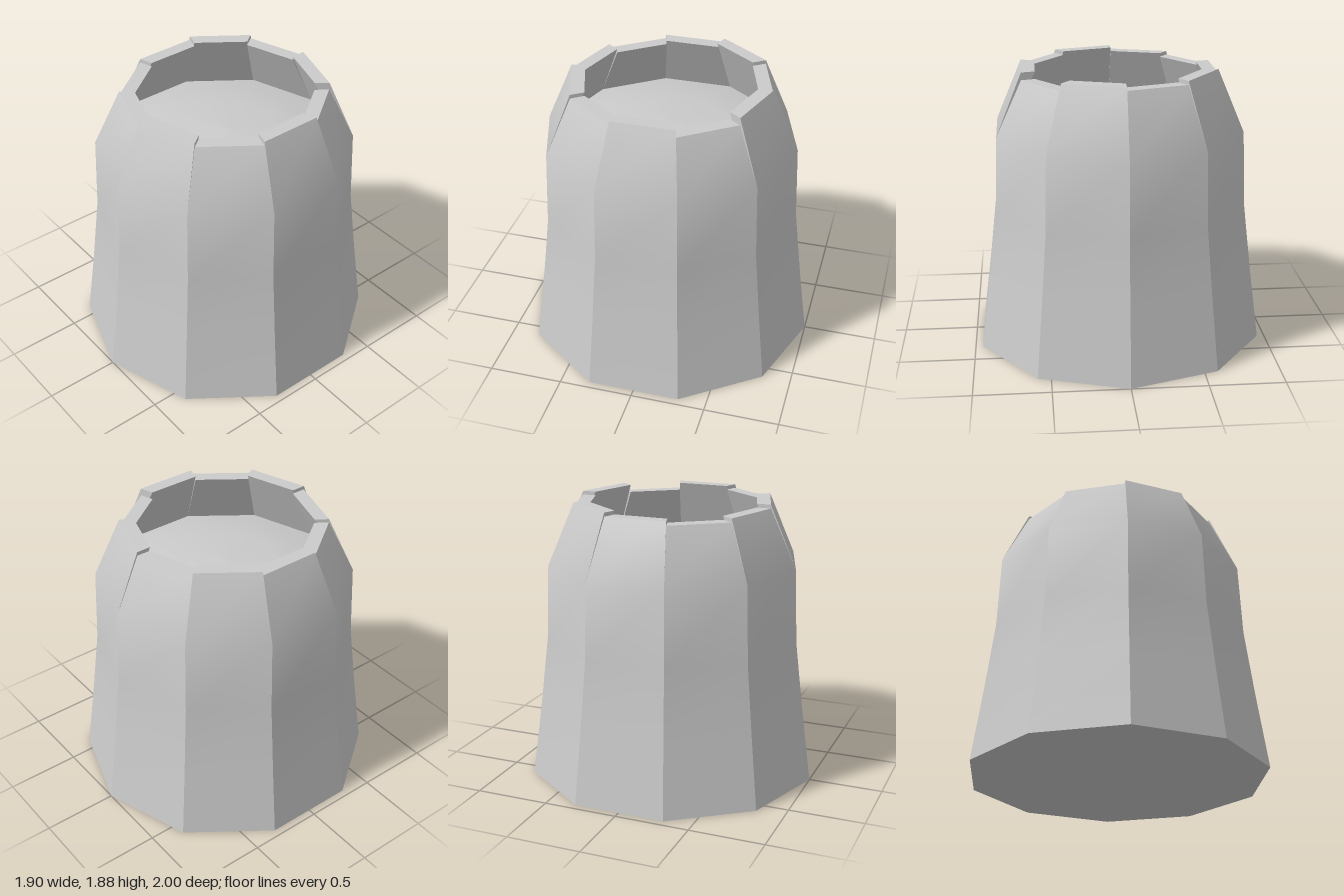
import * as THREE from 'three';
import { mergeGeometries } from 'three/addons/utils/BufferGeometryUtils.js';

const SIDES = 10;
const STEP = (Math.PI * 2) / SIDES;
const BEND = 1.465; // height where the staves start leaning inward
const INNER = 0.77; // inner radius at the bend
const TOPS = [1.88, 1.855, 1.88, 1.83, 1.88, 1.855, 1.88, 1.855, 1.83, 1.855];

const at = (r, y, a) => [Math.sin(a) * r, y, Math.cos(a) * r];

function build(points, index) {
  const g = new THREE.BufferGeometry();
  g.setAttribute('position', new THREE.Float32BufferAttribute(points.flat(), 3));
  g.setIndex(index);
  g.computeVertexNormals();
  return g;
}

// One facet following a [radius, height] profile, smooth along its length
function strip(profile, a0, a1) {
  const points = [], index = [];
  profile.forEach(([r, y], i) => {
    points.push(at(r, y, a0), at(r, y, a1));
    if (i) {
      const b = i * 2 - 2;
      index.push(b, b + 1, b + 3, b, b + 3, b + 2);
    }
  });
  return build(points, index);
}

// Stave with outer face, rim, inner face and the two exposed ends
function staveGeometry(i) {
  const a0 = i * STEP, a1 = a0 + STEP, top = TOPS[i];
  const section = [[0.855, BEND], [0.675, top], [0.58, top], [INNER, BEND]];
  const end = (a, order) => build(section.map(([r, y]) => at(r, y, a)), order);
  return mergeGeometries([
    strip([[1, 0], [0.932, 0.5], [0.875, 0.965], section[0], section[1]], a0, a1),
    strip([section[1], section[2]], a0, a1),
    strip([section[2], section[3]], a0, a1),
    end(a0, [0, 1, 2, 0, 2, 3]),
    end(a1, [0, 2, 1, 0, 3, 2]),
  ]);
}

export function createModel() {
  const group = new THREE.Group();
  group.name = 'taperedTub';
  const material = new THREE.MeshStandardMaterial({ color: 0xcccccc });
  const add = (name, geometry) => {
    const mesh = new THREE.Mesh(geometry, material);
    mesh.name = name;
    group.add(mesh);
  };

  TOPS.forEach((_, i) => add('stave' + (i + 1), staveGeometry(i)));

  // Shallow domed filling inside the rim
  const dome = [[INNER, BEND], [0.58, 1.51], [0.35, 1.545], [0, 1.56]]
    .map(([r, y]) => new THREE.Vector2(r, y));
  add('filling', new THREE.LatheGeometry(dome, SIDES));

  // Flat underside
  add('base', new THREE.LatheGeometry([new THREE.Vector2(0, 0), new THREE.Vector2(1, 0)], SIDES));
  return group;
}
